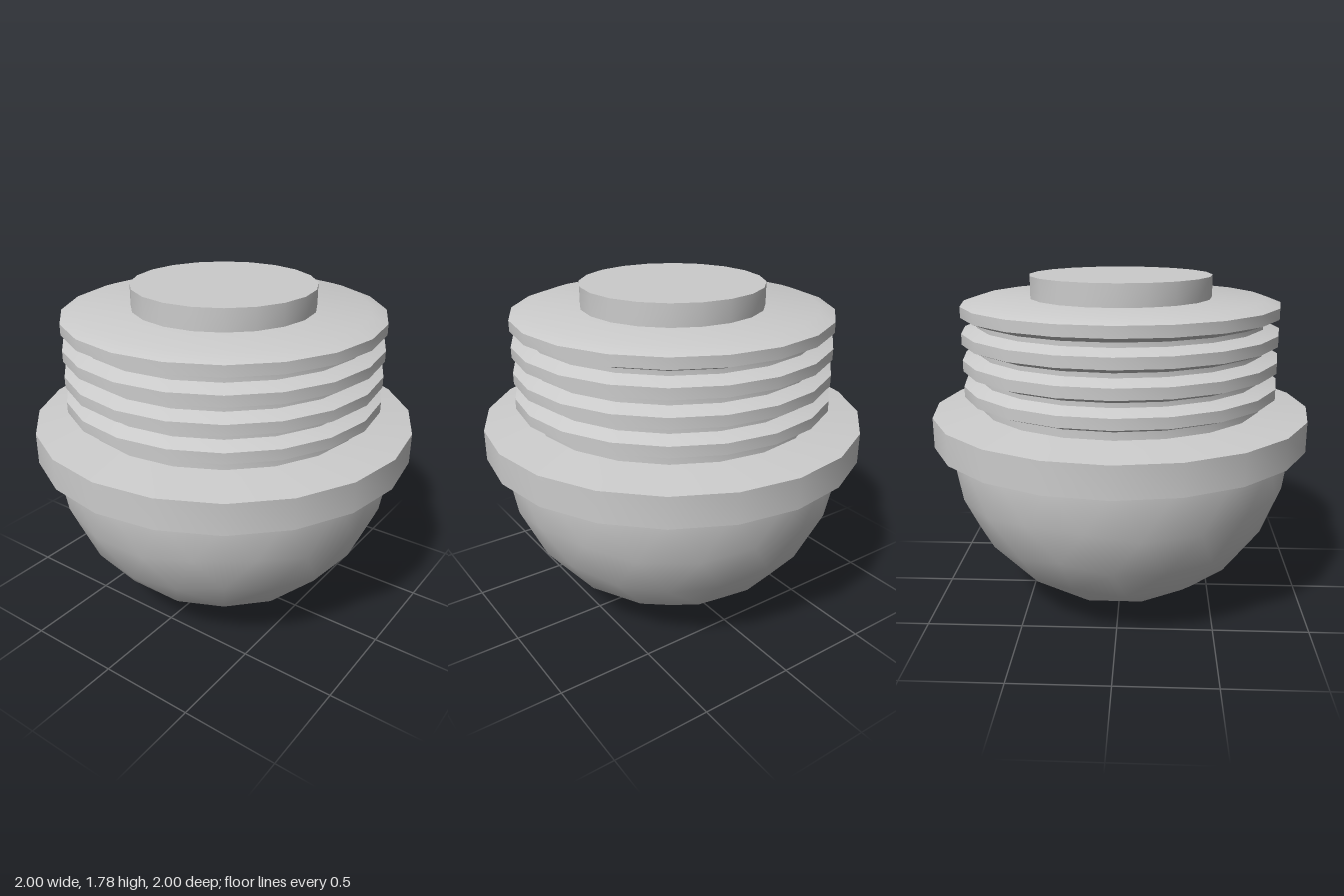
import * as THREE from 'three';
import { toCreasedNormals } from 'three/addons/utils/BufferGeometryUtils.js';

const SIDES = 20;
const BOWL_RADIUS = 0.92;

// Lower half of a twice-subdivided icosahedron standing on a corner
function bowlGeometry(radius) {
  const y = 1 / Math.sqrt(5), r = 2 / Math.sqrt(5);
  let corners = [0, -1, 0];
  for (const [level, turn] of [[-y, 0], [y, 0.5]]) {
    for (let i = 0; i < 5; i++) {
      const a = ((i + turn) * Math.PI * 2) / 5;
      corners.push(r * Math.cos(a), level, r * Math.sin(a));
    }
  }
  let faces = [];
  for (let i = 0; i < 5; i++) {
    const low = 1 + i, lowNext = 1 + ((i + 1) % 5);
    const high = 6 + i, highNext = 6 + ((i + 1) % 5);
    faces.push(0, low, lowNext, low, high, lowNext, high, highNext, lowNext);
  }
  for (let step = 0; step < 2; step++) {
    corners = Array.from(new THREE.PolyhedronGeometry(corners, faces, 1, 1).attributes.position.array);
    faces = Array.from({ length: corners.length / 3 }, (_, i) => i);
  }

  // Keep the triangles below the equator
  const kept = [];
  for (let i = 0; i < corners.length; i += 9) {
    if (corners[i + 1] + corners[i + 4] + corners[i + 7] < -0.001) kept.push(...corners.slice(i, i + 9));
  }
  const geometry = new THREE.BufferGeometry();
  geometry.setAttribute('normal', new THREE.Float32BufferAttribute(kept, 3));
  geometry.setAttribute('position', new THREE.Float32BufferAttribute(kept.map((v) => v * radius), 3));
  return geometry;
}

// Turned part with crisp rims and smooth walls
function turned(points) {
  const profile = points.map(([r, y]) => new THREE.Vector2(r, y));
  return toCreasedNormals(new THREE.LatheGeometry(profile, SIDES), 0.55);
}

export function createModel() {
  const group = new THREE.Group();
  const material = new THREE.MeshStandardMaterial({ color: 0xcccccc, side: THREE.DoubleSide });
  const add = (name, geometry, y = 0) => {
    const mesh = new THREE.Mesh(geometry, material);
    mesh.name = name;
    mesh.position.y = y;
    group.add(mesh);
  };

  add('bowl', bowlGeometry(BOWL_RADIUS), BOWL_RADIUS);

  // Wide collar with a slightly sloping top
  add('collar', turned([[BOWL_RADIUS, 0.92], [1, 0.92], [1, 1.08], [0.75, 1.11]]));

  // Neck with four evenly spaced ridges, closed at the top
  const neck = [[0.75, 1.11]];
  for (let i = 0; i < 4; i++) {
    const y = 1.18 + i * 0.135;
    neck.push([0.75, y - 0.03], [0.83, y], [0.83, y + 0.055], [0.75, y + 0.082]);
  }
  neck.push([0, 1.667]);
  add('ridgedNeck', turned(neck));

  // Round cap on top
  add('cap', toCreasedNormals(new THREE.CylinderGeometry(0.475, 0.475, 0.12, SIDES), 0.55), 1.72);

  return group;
}
